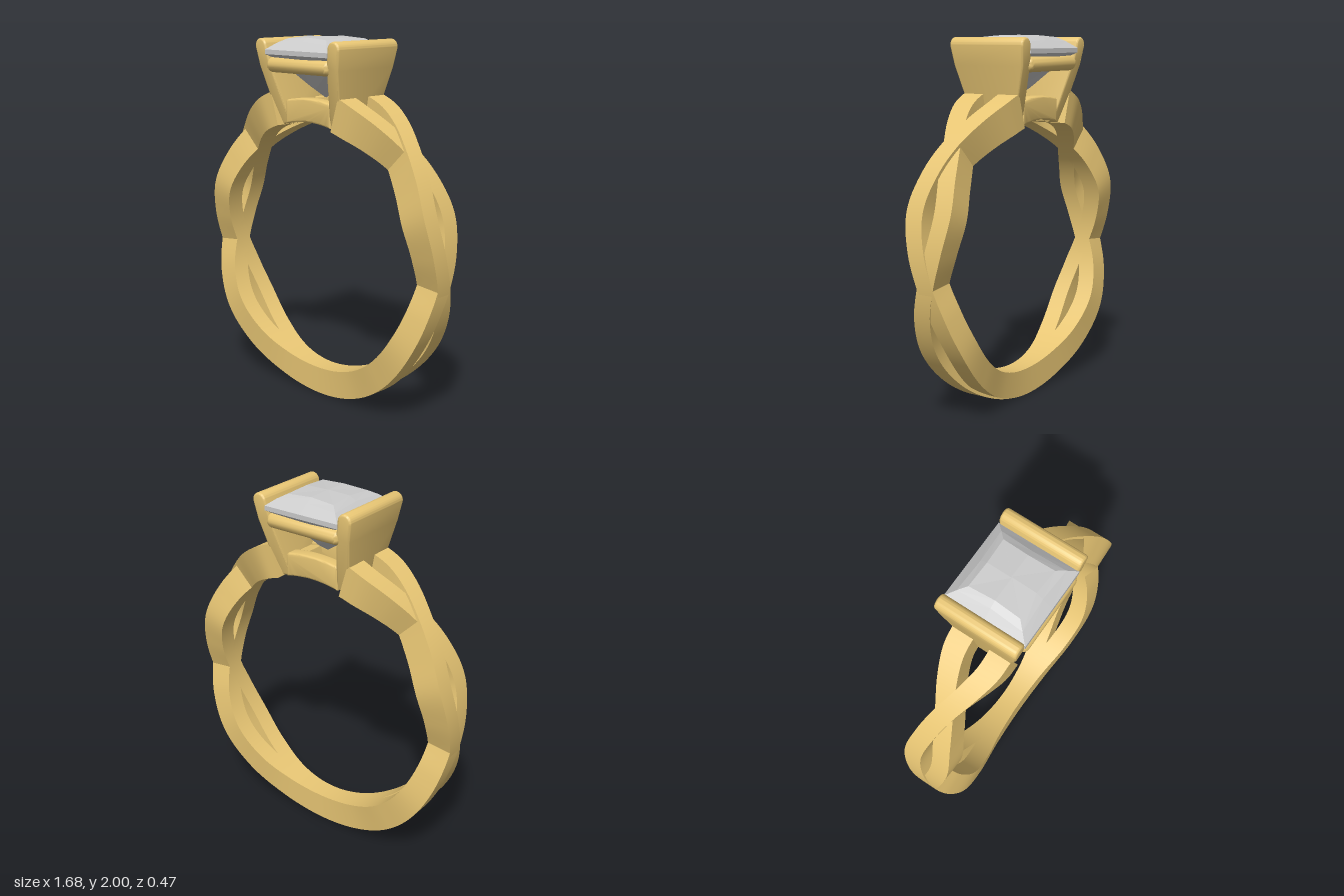
import * as THREE from 'three';
import { toCreasedNormals } from 'three/addons/utils/BufferGeometryUtils.js';

const gold = new THREE.MeshStandardMaterial({ color: 0xe8c674 });
const grey = new THREE.MeshStandardMaterial({ color: 0xcccccc, flatShading: true });
const CENTRE = 0.85; // height of the ring's axis

function add(parent, name, geometry, material = gold) {
  const mesh = new THREE.Mesh(geometry, material);
  mesh.name = name;
  parent.add(mesh);
  return mesh;
}

// Joins equal-length closed cross-sections into a skin and caps both ends with fans.
function loft(sections) {
  const n = sections[0].length, last = sections.length - 1, index = [];
  for (let i = 0; i < last; i++) {
    for (let j = 0; j < n; j++) {
      const a = i * n + j, b = i * n + (j + 1) % n;
      index.push(a, b, b + n, a, b + n, a + n);
    }
  }
  for (let j = 1; j < n - 1; j++) {
    index.push(0, j + 1, j, last * n, last * n + j, last * n + j + 1);
  }
  const g = new THREE.BufferGeometry();
  g.setAttribute('position', new THREE.Float32BufferAttribute(sections.flat(2), 3));
  g.setIndex(index);
  return g;
}

// Smooth curve through [angle, value] pairs, angle in degrees from the top.
function track(points) {
  const slope = points.map((p, i) => {
    const a = points[Math.max(i - 1, 0)], b = points[Math.min(i + 1, points.length - 1)];
    return i === points.length - 1 ? 0 : (b[1] - a[1]) / (b[0] - a[0]);
  });
  return (angle) => {
    let i = 0;
    while (i < points.length - 2 && angle > points[i + 1][0]) i++;
    const [a0, v0] = points[i], [a1, v1] = points[i + 1];
    const h = a1 - a0, t = (angle - a0) / h, t2 = t * t, t3 = t2 * t;
    return (2 * t3 - 3 * t2 + 1) * v0 + (t3 - 2 * t2 + t) * h * slope[i]
      + (3 * t2 - 2 * t3) * v1 + (t3 - t2) * h * slope[i + 1];
  };
}

// One strand of the twisted band, weaving in z as it runs round the ring.
const weave = track([[16, 0.11], [24, 0.103], [34, 0.06], [45, 0], [56, -0.046], [70, -0.08],
  [84, -0.048], [96, 0], [108, 0.048], [124, 0.08], [142, 0.062], [162, 0.02], [180, 0.005]]);
const outer = track([[16, 0.886], [45, 0.858], [90, 0.838], [135, 0.838], [180, 0.85]]);
const halfWidth = track([[16, 0.062], [45, 0.054], [96, 0.05], [180, 0.055]]);

function strandGeometry() {
  const sections = [], steps = 160;
  for (let i = 0; i <= steps; i++) {
    const angle = 16.5 + (327 * i) / steps, a = THREE.MathUtils.degToRad(angle);
    const fold = Math.min(angle, 360 - angle);
    // the strand rides over the other on one side and under it on the next
    const lift = 0.009 * Math.sign(angle - 180) * Math.sin(((fold - 16) / 164) * Math.PI * 2);
    const z = weave(fold), w = halfWidth(fold), r = outer(fold) + lift;
    sections.push([[0.7, -w], [r, -w], [r, w], [0.7, w]].map(([radius, dz]) =>
      [Math.sin(a) * radius, CENTRE + Math.cos(a) * radius, z + dz]));
  }
  return toCreasedNormals(loft(sections), 0.6);
}

// Rounded rod with domed ends, lying along x.
function rodGeometry(radius, length, dome) {
  const half = length / 2, profile = [];
  for (let i = 0; i <= 6; i++) {
    const t = (i / 6) * Math.PI / 2;
    profile.push(new THREE.Vector2(radius - dome + dome * Math.sin(t), -half + dome - dome * Math.cos(t)));
  }
  const upper = profile.map((p) => new THREE.Vector2(p.x, -p.y)).reverse();
  const points = [new THREE.Vector2(0, -half), ...profile, ...upper, new THREE.Vector2(0, half)];
  return toCreasedNormals(new THREE.LatheGeometry(points, 24).rotateZ(Math.PI / 2), 0.6);
}

// Side plate with a rounded top edge, narrowing in z towards its foot.
function plateGeometry() {
  const shape = new THREE.Shape();
  shape.moveTo(-0.041, 0);
  shape.lineTo(0.041, 0);
  shape.lineTo(0.041, 0.33);
  shape.absarc(0, 0.43, 0.041, 0, Math.PI, false);
  shape.lineTo(-0.041, 0.33);
  const g = new THREE.ExtrudeGeometry(shape, {
    depth: 0.436, bevelThickness: 0.012, bevelSize: 0.012, bevelOffset: -0.012, bevelSegments: 3, curveSegments: 16,
  }).translate(0, 0, -0.218);
  const p = g.attributes.position;
  for (let i = 0; i < p.count; i++) {
    const y = p.getY(i);
    const half = y < 0.33 ? 0.125 + (y / 0.33) * 0.092 : Math.min(0.23, 0.217 + (y - 0.33) * 0.13);
    p.setZ(i, (p.getZ(i) * half) / 0.23);
  }
  return toCreasedNormals(g, 0.6);
}

// Open frame under the stone: two arched bars joined by end blocks.
function baseFrame() {
  const group = new THREE.Group();
  group.name = 'baseFrame';
  const half = 0.165, arc = Math.asin(half / 0.7);
  const shape = new THREE.Shape();
  shape.absarc(0, CENTRE, 0.7, Math.PI / 2 + arc, Math.PI / 2 - arc, true);
  shape.lineTo(0.168, 1.64);
  shape.quadraticCurveTo(0.168, 1.663, 0.145, 1.665);
  shape.quadraticCurveTo(0, 1.69, -0.145, 1.665);
  shape.quadraticCurveTo(-0.168, 1.663, -0.168, 1.64);
  const bar = toCreasedNormals(new THREE.ExtrudeGeometry(shape, {
    depth: 0.05, bevelThickness: 0.012, bevelSize: 0.01, bevelOffset: -0.01, bevelSegments: 3, curveSegments: 10,
  }).translate(0, 0, -0.025), 0.6);
  for (const side of [-1, 1]) {
    add(group, side > 0 ? 'frontBar' : 'backBar', bar).position.z = 0.105 * side;
    const block = add(group, 'endBlock', new THREE.BoxGeometry(0.075, 0.1, 0.17));
    block.position.set(0.125 * side, 1.597, 0);
    block.rotation.z = -0.18 * side;
  }
  return group;
}

// Square-cut stone from rings of corner and mid-side points.
function stoneGeometry() {
  // [corner half-size, corner height, mid-side half-size, mid-side height]
  const rings = [[0.003, 1.675, 0.003, 1.675], [0.06, 1.735, 0.08, 1.725], [0.125, 1.81, 0.16, 1.805],
    [0.205, 1.89, 0.205, 1.88], [0.23, 1.905, 0.23, 1.905], [0.23, 1.93, 0.23, 1.93],
    [0.185, 1.965, 0.175, 1.975], [0.145, 1.988, 0.138, 1.997], [0.003, 2, 0.003, 2]];
  return loft(rings.map(([c, cy, m, my]) => {
    const ring = [];
    for (let k = 0; k < 4; k++) {
      const cos = Math.round(Math.cos(k * Math.PI / 2)), sin = Math.round(Math.sin(k * Math.PI / 2));
      ring.push([m * cos, my, -m * sin], [c * (cos - sin), cy, -c * (sin + cos)]);
    }
    return ring;
  }));
}

export function createModel() {
  const model = new THREE.Group();
  model.name = 'ring';

  // Twisted band
  const strand = strandGeometry();
  add(model, 'strandA', strand);
  add(model, 'strandB', strand).rotation.y = Math.PI;

  // Setting
  const setting = new THREE.Group();
  setting.name = 'setting';
  setting.add(baseFrame());
  const plate = plateGeometry();
  const rail = rodGeometry(0.041, 0.46, 0.03);
  for (const side of [-1, 1]) {
    const sidePlate = add(setting, side > 0 ? 'leftPlate' : 'rightPlate', plate);
    sidePlate.position.set(0.19 * side, 1.525, 0);
    sidePlate.rotation.z = -0.186 * side;
    add(setting, side > 0 ? 'frontRail' : 'backRail', rail).position.set(0, 1.85, 0.193 * side);
  }
  model.add(setting);

  // Stone
  add(model, 'stone', stoneGeometry(), grey);
  return model;
}
